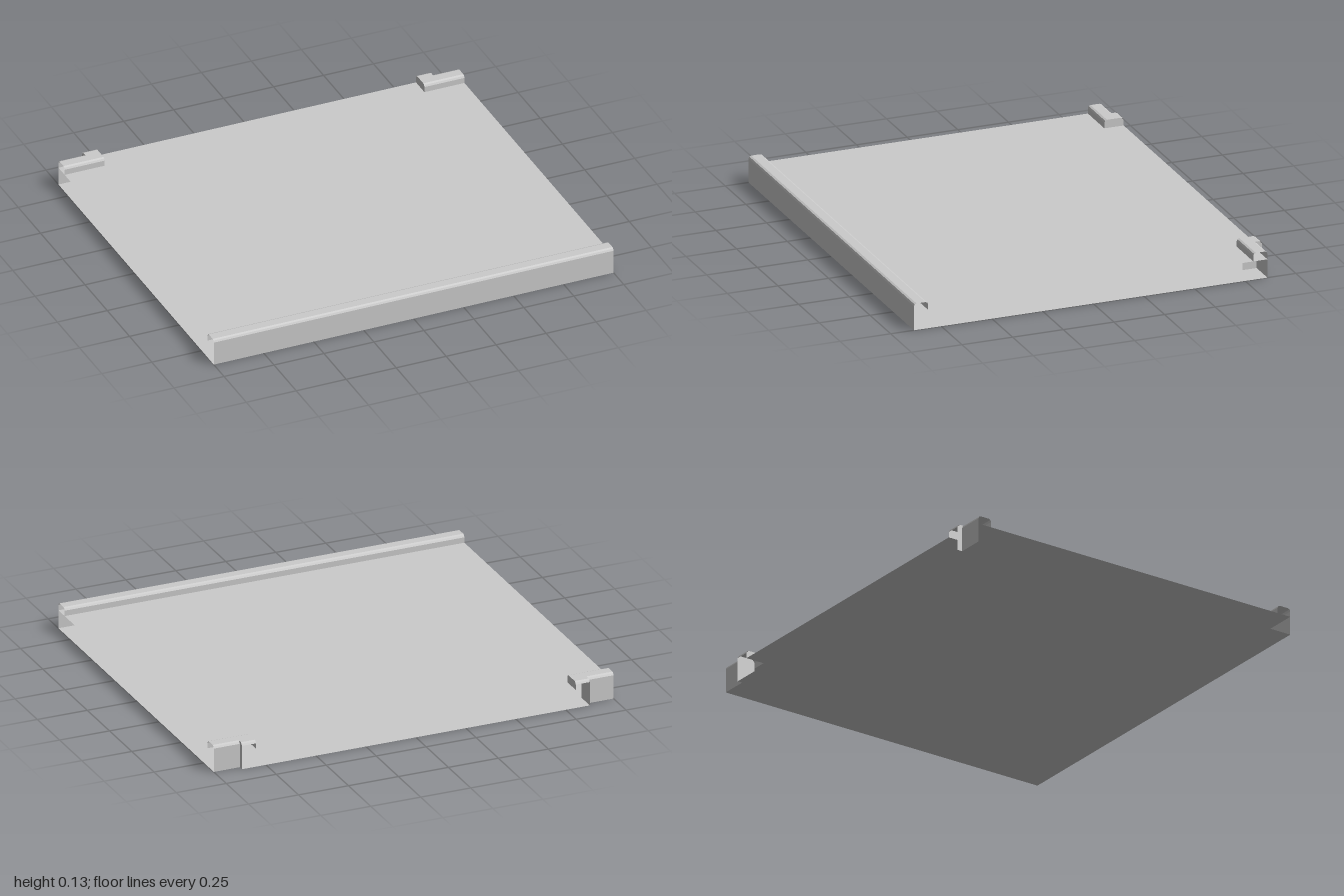
import * as THREE from 'three';

const material = new THREE.MeshStandardMaterial({ color: 0xcccccc, flatShading: true, side: THREE.DoubleSide });

const W = 1, FRONT = 0.885, BACK = -0.885, DECK = 0.09, TOP = 0.13;
const CLIP_BACK = -0.86, CLIP_FRONT = -0.79, CLIP_X = 0.87, TAB_X = 0.8;

function add(group, name, geometry) {
  const mesh = new THREE.Mesh(geometry, material);
  mesh.name = name;
  group.add(mesh);
  return mesh;
}

// Thin bent sheet: a [z, y] profile swept straight from x0 to x1
function bentSheet(profile, x0, x1) {
  const pos = [];
  for (let i = 0; i < profile.length - 1; i++) {
    const [za, ya] = profile[i], [zb, yb] = profile[i + 1];
    pos.push(x0, ya, za, x1, ya, za, x1, yb, zb, x0, ya, za, x1, yb, zb, x0, yb, zb);
  }
  const g = new THREE.BufferGeometry();
  g.setAttribute('position', new THREE.Float32BufferAttribute(pos, 3));
  g.computeVertexNormals();
  return g;
}

// Flat outline in [x, z], laid horizontally at height y and facing up
function flatSheet(points, y) {
  const shape = new THREE.Shape(points.map(([x, z]) => new THREE.Vector2(x, -z)));
  return new THREE.ShapeGeometry(shape).rotateX(-Math.PI / 2).translate(0, y, 0);
}

// Upright panel in the z-y plane with bevelled top corners
function sidePanel(x, y0) {
  const b = 0.012;
  const shape = new THREE.Shape([
    [-BACK, y0], [-CLIP_FRONT, y0], [-CLIP_FRONT, TOP - b], [-CLIP_FRONT + b, TOP],
    [-BACK - b, TOP], [-BACK, TOP - b],
  ].map(([u, v]) => new THREE.Vector2(u, v)));
  return new THREE.ShapeGeometry(shape).rotateY(Math.PI / 2).translate(x, 0, 0);
}

// Rounded hook from an outer wall (zo) over to an inner flange (zi)
function hook(zo, zi, yStart) {
  const s = Math.sign(zo - zi), b = 0.013;
  return [[zo, yStart], [zo, TOP - b], [zo - s * b * 0.3, TOP - b * 0.3], [zo - s * b, TOP],
    [zi + s * b, TOP], [zi + s * b * 0.3, TOP - b * 0.3], [zi, TOP - b], [zi, DECK]];
}

export function createModel() {
  const model = new THREE.Group();
  model.name = 'tray';

  // Lower and upper sheets, notched at the back corners
  const lower = [[-W, FRONT], [W, FRONT], [W, CLIP_BACK], [CLIP_X, CLIP_BACK], [CLIP_X, BACK],
    [-CLIP_X, BACK], [-CLIP_X, CLIP_BACK], [-W, CLIP_BACK]];
  add(model, 'bottomSheet', flatSheet(lower, 0));
  const upper = [[-W, FRONT], [W, FRONT], [W, CLIP_BACK], [CLIP_X, CLIP_BACK], [CLIP_X, CLIP_FRONT],
    [TAB_X, CLIP_FRONT], [TAB_X, BACK], [-TAB_X, BACK], [-TAB_X, CLIP_FRONT],
    [-CLIP_X, CLIP_FRONT], [-CLIP_X, CLIP_BACK], [-W, CLIP_BACK]];
  add(model, 'topSheet', flatSheet(upper, DECK));

  // Front wall folded over into a lip
  add(model, 'frontLip', bentSheet(hook(FRONT, 0.815, 0), -W, W));

  // Mirrored back clips: hooked wall, dividing panel and open-backed tab
  for (const side of [1, -1]) {
    const clip = new THREE.Group();
    clip.name = side > 0 ? 'leftBackClip' : 'rightBackClip';
    add(clip, 'clipWall', bentSheet(hook(CLIP_BACK, CLIP_FRONT, 0), side * CLIP_X, side * W));
    add(clip, 'clipPanel', sidePanel(side * CLIP_X, 0));
    add(clip, 'clipTab', bentSheet(hook(BACK, CLIP_FRONT, TOP - 0.013), side * TAB_X, side * CLIP_X));
    add(clip, 'tabSide', sidePanel(side * TAB_X, DECK));
    model.add(clip);
  }
  return model;
}
